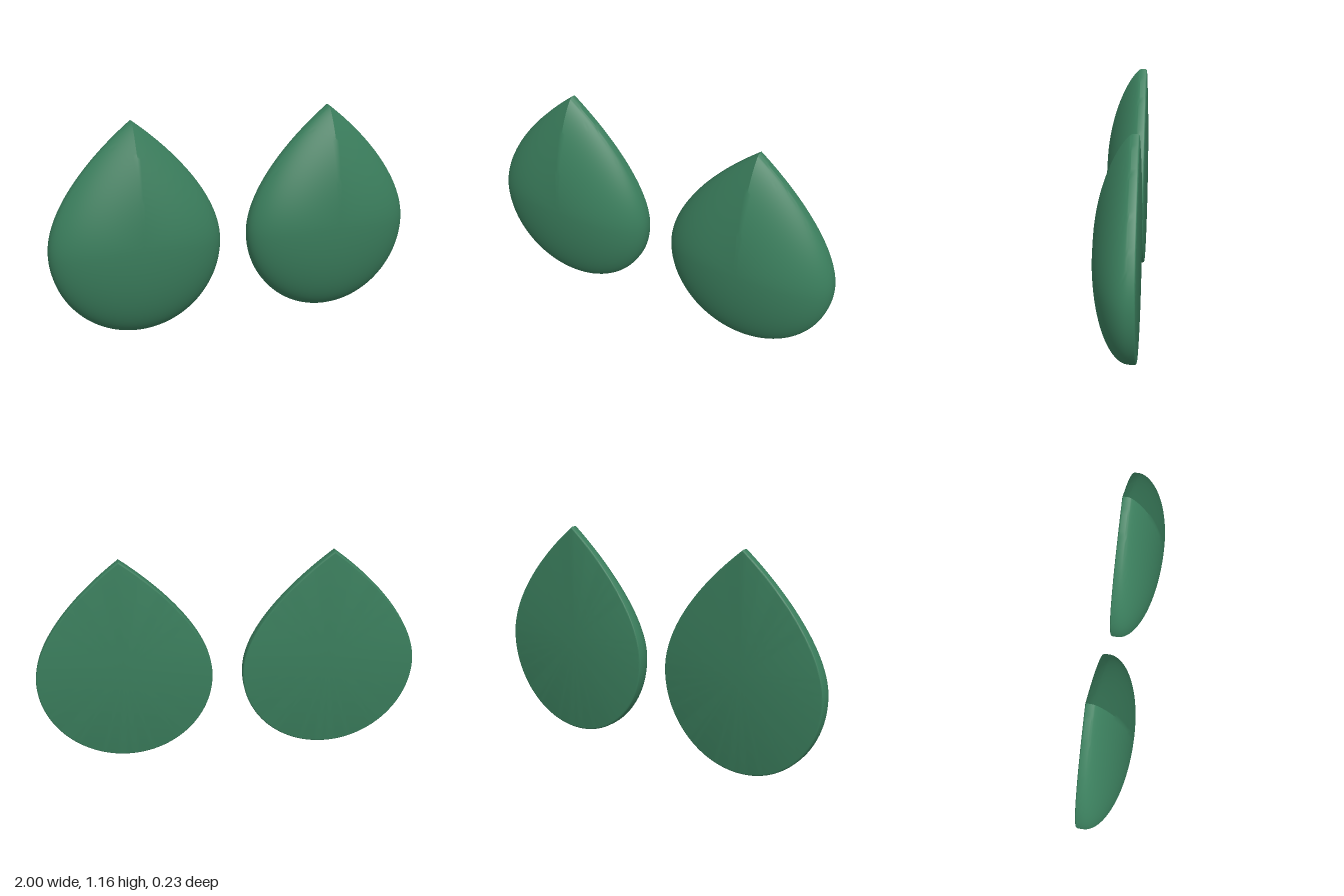
import * as THREE from 'three';
import { toCreasedNormals } from 'three/addons/utils/BufferGeometryUtils.js';

const CENTRE_Y = 0.53, BACK = -0.113, RIM = -0.078, FRONT = 0.113;

// Teardrop outline, counter-clockwise from the tip
function outline() {
  const shape = new THREE.Shape();
  shape.moveTo(0, 1.157);
  shape.bezierCurveTo(-0.25, 0.96, -0.46, 0.7, -0.46, 0.475);
  shape.bezierCurveTo(-0.46, 0.213, -0.254, 0, 0, 0);
  shape.bezierCurveTo(0.254, 0, 0.46, 0.213, 0.46, 0.475);
  shape.bezierCurveTo(0.46, 0.7, 0.25, 0.96, 0, 1.157);
  return shape.getPoints(32).slice(0, -1);
}

// Rings of the outline, scaled from the front of the dome round to the flat back
function dropGeometry() {
  const pts = outline(), n = pts.length, rings = [];
  const DOME = 28;
  for (let i = 0; i <= DOME; i++) {
    const s = Math.sin((i / DOME) * Math.PI / 2);
    // the dome runs flatter towards the tip
    rings.push([s, (y) => {
      const power = 0.5 + 0.25 * THREE.MathUtils.smoothstep(y, 0.45, 1.157);
      return RIM + (FRONT - RIM) * Math.pow(Math.max(0, 1 - s * s), power);
    }]);
  }
  // short straight wall, then a small rounded back edge
  for (let i = 0; i <= 4; i++) {
    const a = (i / 4) * Math.PI / 2;
    rings.push([1 - 0.018 * (1 - Math.cos(a)), () => BACK + 0.01 * (1 - Math.sin(a))]);
  }
  rings.push([0, () => BACK]);

  const pos = [], index = [];
  for (const [s, z] of rings)
    for (const p of pts) pos.push(p.x * s, CENTRE_Y + (p.y - CENTRE_Y) * s, z(p.y));
  for (let i = 0; i < rings.length - 1; i++)
    for (let j = 0; j < n; j++) {
      const k = (j + 1) % n;
      const a = i * n + j, b = a + n, c = (i + 1) * n + k, d = i * n + k;
      if (rings[i + 1][0] > 0) index.push(a, b, c);
      if (rings[i][0] > 0) index.push(a, c, d);
    }
  const g = new THREE.BufferGeometry();
  g.setAttribute('position', new THREE.Float32BufferAttribute(pos, 3));
  g.setIndex(index);
  return toCreasedNormals(g, 0.6);
}

export function createModel() {
  const model = new THREE.Group();
  const green = new THREE.MeshStandardMaterial({ color: 0x3a7d5c });
  const geometry = dropGeometry();
  for (const side of [-1, 1]) {
    const drop = new THREE.Mesh(geometry, green);
    drop.name = side > 0 ? 'leftDrop' : 'rightDrop';
    drop.position.x = side * 0.54;
    model.add(drop);
  }
  return model;
}
